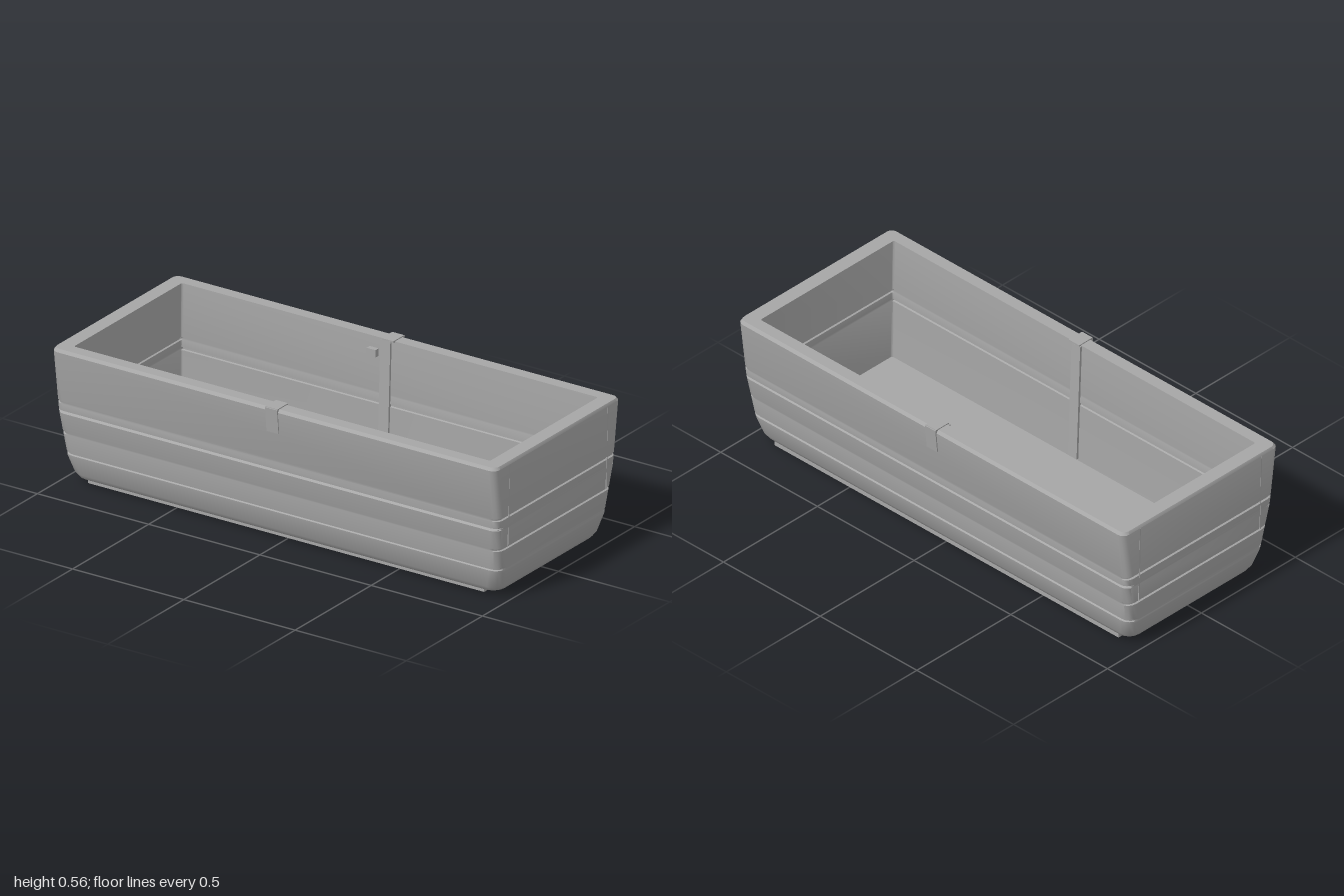
import * as THREE from 'three';
import { toCreasedNormals } from 'three/addons/utils/BufferGeometryUtils.js';

// wall rows: [y, half length, half depth, corner radius], top to bottom
const OUTER = [
  [0.56, 0.994, 0.404, 0.025], [0.549, 1.0, 0.414, 0.03], [0.3, 0.995, 0.39, 0.035],
  [0.11, 0.98, 0.362, 0.045], [0.04, 0.962, 0.343, 0.05], [0.022, 0.95, 0.332, 0.05], [0.012, 0.93, 0.315, 0.05]
];
const INNER = [[0.56, 0.935, 0.355, 0.008], [0.05, 0.925, 0.335, 0.008]];

// interpolated row of a wall table at height y
function rowAt(table, y) {
  for (let i = 0; i < table.length - 1; i++) {
    const a = table[i], b = table[i + 1];
    if (y <= a[0] && y >= b[0]) {
      const t = (a[0] - y) / (a[0] - b[0]);
      return a.map((v, k) => v + (b[k] - v) * t);
    }
  }
  return table[table.length - 1];
}

// adds narrow board joints; column 1 cuts the ends, column 2 the long sides
function withGrooves(table, grooves, cut) {
  const rows = table.map(r => [...r]);
  for (const [y, column] of grooves) {
    for (const [dy, depth] of [[0.006, 0], [0.003, cut], [-0.003, cut], [-0.006, 0]]) {
      const row = rowAt(table, y + dy);
      row[column] -= depth;
      rows.push(row);
    }
  }
  return rows.sort((a, b) => b[0] - a[0]);
}

// closed shell through rounded rectangles; the profile itself closes on its start
function loftLoop(rows) {
  const steps = 5, points = [], index = [];
  for (const [y, hx, hz, r] of rows) {
    for (let c = 0; c < 4; c++) {
      const sx = c === 0 || c === 3 ? 1 : -1, sz = c < 2 ? 1 : -1;
      for (let k = 0; k < steps; k++) {
        const a = (c + k / (steps - 1)) * Math.PI / 2;
        points.push(sx * (hx - r) + Math.cos(a) * r, y, sz * (hz - r) + Math.sin(a) * r);
      }
    }
  }
  const n = steps * 4;
  for (let i = 0; i < rows.length; i++) {
    const next = (i + 1) % rows.length;
    for (let j = 0; j < n; j++) {
      const k = (j + 1) % n;
      index.push(i * n + j, i * n + k, next * n + j, i * n + k, next * n + k, next * n + j);
    }
  }
  const geometry = new THREE.BufferGeometry();
  geometry.setAttribute('position', new THREE.Float32BufferAttribute(points, 3));
  geometry.setIndex(index);
  return toCreasedNormals(geometry, 0.6);
}

export function createModel() {
  const group = new THREE.Group();
  const grey = new THREE.MeshStandardMaterial({ color: 0xa6a6a6 });
  grey.name = 'weathered grey';

  const add = (name, geometry, x = 0, y = 0, z = 0) => {
    const mesh = new THREE.Mesh(geometry, grey);
    mesh.name = name;
    mesh.position.set(x, y, z);
    group.add(mesh);
    return mesh;
  };
  const box = (name, w, h, d, x, y, z) => add(name, new THREE.BoxGeometry(w, h, d), x, y, z);

  // flared walls with rim, inside faces and a narrow bottom frame
  const outer = withGrooves(OUTER, [[0.3, 2], [0.125, 2], [0.34, 1], [0.21, 1]], 0.007);
  const inner = withGrooves(INNER, [[0.3, 2], [0.34, 1]], -0.006).reverse();
  const frame = [[0.012, 0.89, 0.285, 0.008], [0.05, 0.89, 0.285, 0.008]];
  add('walls', loftLoop([...outer, ...frame, ...inner]));

  // floor planks with narrow gaps
  const joints = [-0.287, -0.19, -0.015, 0.15, 0.287];
  for (let i = 0; i < 4; i++) {
    const depth = joints[i + 1] - joints[i] - 0.006;
    box('floorPlank', 1.785, 0.03, depth, 0, 0.037, (joints[i] + joints[i + 1]) / 2);
  }

  for (const s of [1, -1]) {
    // bottom runner along each long side, the rear one slightly lower
    const low = s > 0 ? 0.008 : 0;
    box('runner', 1.78, 0.03 - low, 0.02, 0, (0.03 + low) / 2, s * 0.318);

    // strap over the middle of the rim
    box('strapTop', 0.054, 0.008, 0.07, -0.005, 0.56, s * 0.381);
    const front = box('strapOutside', 0.054, 0.1, 0.008, -0.005, 0.512, s * 0.411);
    front.rotation.x = s * 0.1;
    const back = box('strapInside', 0.045, 0.5, 0.014, -0.015, 0.308, s * 0.343);
    back.rotation.x = s * 0.039;

    // raised edges of the corner posts on both ends
    for (const z of [0.32, -0.325]) {
      const edge = box('cornerPostEdge', 0.004, 0.33, 0.004, s * 0.9955, 0.382, z);
      edge.rotation.z = -s * 0.02;
    }
  }

  // small peg inside the rear wall
  box('peg', 0.04, 0.03, 0.025, -0.07, 0.5, -0.345);

  return group;
}
